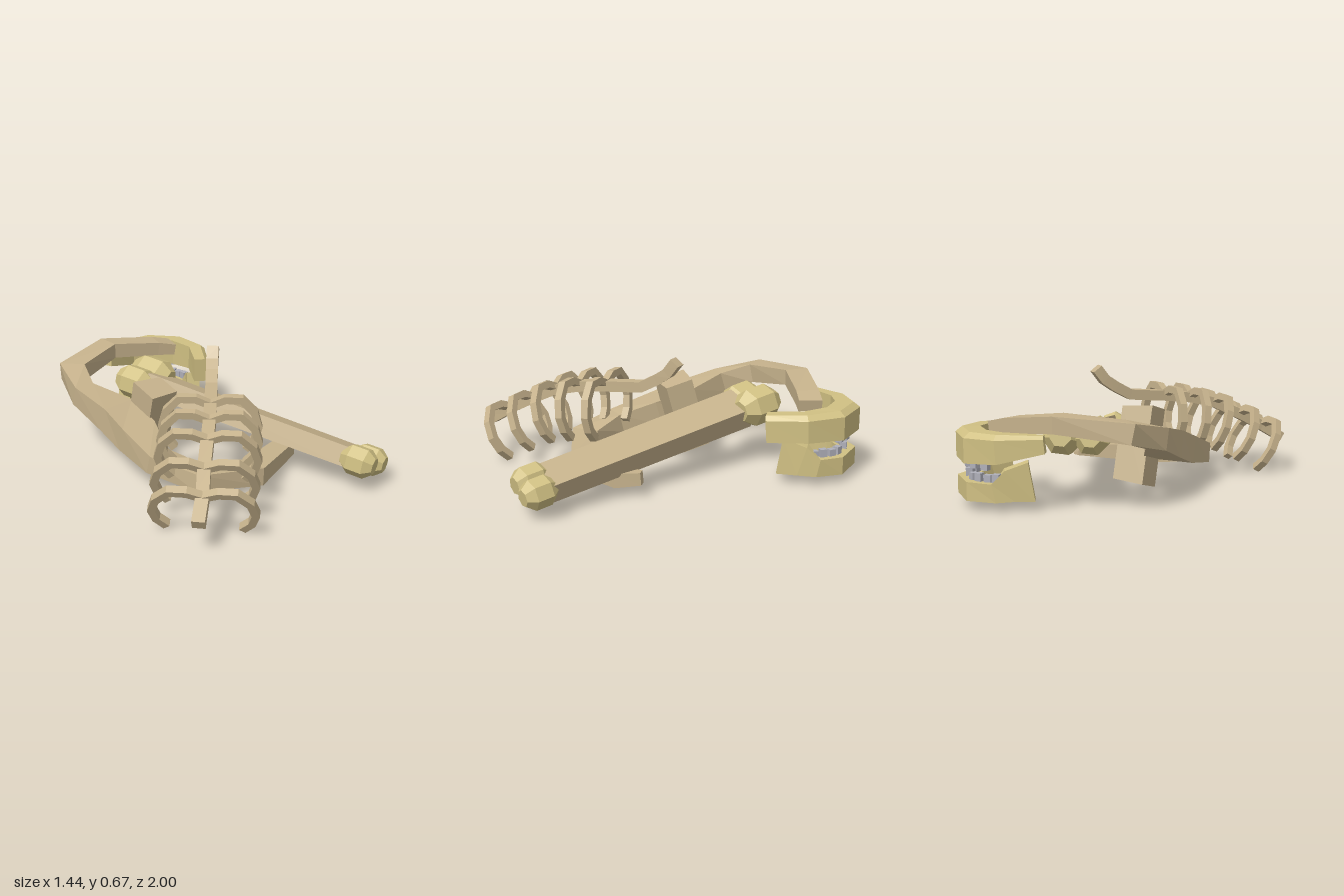
import * as THREE from 'three';

const V = (x, y, z) => new THREE.Vector3(x, y, z);
const material = (color) => new THREE.MeshStandardMaterial({ color, flatShading: true });
const SQUARE = [[-1, -1], [1, -1], [1, 1], [-1, 1]];
const BEVELLED = [[-1, -1], [1, -1], [1, 0.65], [0.45, 1], [-1, 1]];

// Sweeps a section along rows of [x, y, z, width, height], with mitred bends
function sweep(rows, up, section = SQUARE) {
  const pts = rows.map((r) => V(r[0], r[1], r[2]));
  const rings = pts.map((p, i) => {
    const before = p.clone().sub(pts[Math.max(i - 1, 0)]).normalize();
    const after = pts[Math.min(i + 1, pts.length - 1)].clone().sub(p).normalize();
    const t = before.clone().add(after).normalize();
    const s = up.clone().cross(t).normalize();
    const u = t.clone().cross(s);
    const [, , , w, h] = rows[i];
    return section.map(([a, b]) => p.clone().addScaledVector(s, a * w / 2).addScaledVector(u, b * h / 2));
  });
  const out = [];
  const tri = (...vs) => vs.forEach((v) => out.push(v.x, v.y, v.z));
  const n = section.length, last = rings.length - 1;
  for (let i = 0; i < last; i++) {
    for (let j = 0; j < n; j++) {
      const k = (j + 1) % n;
      tri(rings[i][j], rings[i][k], rings[i + 1][k]);
      tri(rings[i][j], rings[i + 1][k], rings[i + 1][j]);
    }
  }
  for (let j = 1; j < n - 1; j++) {
    tri(rings[0][0], rings[0][j + 1], rings[0][j]);
    tri(rings[last][0], rings[last][j], rings[last][j + 1]);
  }
  const geo = new THREE.BufferGeometry();
  geo.setAttribute('position', new THREE.Float32BufferAttribute(out, 3));
  geo.computeVertexNormals();
  return geo;
}

export function createModel() {
  const model = new THREE.Group();
  model.name = 'bonePile';
  const bone = material(0xc6b28c);
  const paleBone = material(0xd0c083);
  const enamel = material(0xb0b0ba);
  const Y = V(0, 1, 0);
  const add = (name, geo, mat, parent = model) => {
    const mesh = new THREE.Mesh(geo, mat);
    mesh.name = name;
    parent.add(mesh);
    return mesh;
  };
  const group = (name) => {
    const g = new THREE.Group();
    g.name = name;
    model.add(g);
    return g;
  };

  // Long flat leg bone, rolled to one side, with a pair of chamfered knuckles at each end
  const leg = group('legBone');
  const legBack = V(0.11, 0.31, -0.42), legFront = V(0.575, 0.14, 0.86);
  const legDir = legFront.clone().sub(legBack).normalize();
  add('legShaft', sweep([
    [...legBack.toArray(), 0.207, 0.13], [...legFront.toArray(), 0.185, 0.113],
  ], V(0.34, 1, -0.12)), bone, leg);
  const knuckles = [
    [0.01, 0.33, -0.465, 0.1, 0.115], [0.165, 0.335, -0.5, 0.11, 0.13],
    [0.525, 0.158, 0.89, 0.087, 0.095], [0.635, 0.128, 0.872, 0.083, 0.092],
  ];
  for (const [x, y, z, r, h] of knuckles) {
    const profile = [[0, -h], [0.55 * r, -h], [r, -0.5 * h], [r, 0.5 * h], [0.55 * r, h], [0, h]];
    const knob = add('knuckle', new THREE.LatheGeometry(profile.map((p) => new THREE.Vector2(...p)), 7), paleBone, leg);
    knob.position.set(x, y, z);
    knob.quaternion.setFromUnitVectors(Y, legDir);
  }

  // Spine
  const cage = group('ribCage');
  const spine = [
    [-0.62, 0.16, 0.9], [-0.52, 0.24, 0.81], [-0.415, 0.32, 0.695], [-0.295, 0.4, 0.575],
    [-0.185, 0.44, 0.46], [-0.075, 0.46, 0.335], [0.08, 0.48, 0.16],
    [0.14, 0.53, 0.09], [0.185, 0.575, 0.04], [0.22, 0.64, 0.005],
  ];
  add('spine', sweep(spine.map((p) => [...p, 0.068, 0.06]), Y), bone, cage);

  // Five ribs, each square to the spine and curling in at the tips
  const half = [[0.08, 0.045], [0.17, 0.045], [0.24, -0.03], [0.265, -0.12], [0.245, -0.2], [0.195, -0.26]];
  const ribLine = [...half.map(([a, b]) => [-a, b]).reverse(), [0, 0.01], ...half];
  for (let i = 1; i <= 5; i++) {
    const c = V(...spine[i]);
    const along = V(...spine[i + 1]).sub(V(...spine[i - 1])).normalize();
    const side = along.clone().cross(Y).normalize();
    const rise = side.clone().cross(along);
    const rows = ribLine.map(([a, b]) => [
      ...c.clone().addScaledVector(side, a).addScaledVector(rise, b).toArray(), 0.042, 0.042]);
    add('rib', sweep(rows, along), bone, cage);
  }

  // Curved hip bone, thickened beside its socket block
  const hip = group('hipBone');
  add('hipArc', sweep([
    [0.46, 0.395, -0.695, 0.13, 0.065], [0.35, 0.415, -0.725, 0.13, 0.08], [0.04, 0.45, -0.795, 0.14, 0.09],
    [-0.3, 0.41, -0.68, 0.15, 0.11], [-0.37, 0.35, -0.47, 0.12, 0.12], [-0.305, 0.28, -0.23, 0.21, 0.15],
    [-0.305, 0.22, -0.03, 0.21, 0.15], [-0.34, 0.16, 0.2, 0.14, 0.11], [-0.23, 0.11, 0.42, 0.16, 0.1],
    [0.1, 0.073, 0.51, 0.15, 0.105], [0.44, 0.085, 0.39, 0.12, 0.08], [0.5, 0.095, 0.29, 0.05, 0.07],
  ], Y), bone, hip);
  add('hipSocket', sweep([
    [-0.21, 0.24, -0.145, 0.185, 0.44], [-0.025, 0.245, -0.145, 0.16, 0.41],
  ], V(0, 0.966, 0.257)), bone, hip);

  // Jaws
  const jaws = group('jaws');
  add('upperJaw', sweep([
    [0.08, 0.35, -0.865, 0.06, 0.09], [0.3, 0.325, -0.945, 0.11, 0.15], [0.455, 0.32, -0.925, 0.14, 0.16],
    [0.585, 0.32, -0.79, 0.13, 0.16], [0.6, 0.32, -0.61, 0.11, 0.15], [0.49, 0.305, -0.425, 0.09, 0.15],
  ], Y, BEVELLED), paleBone, jaws);
  add('lowerJaw', sweep([
    [0.18, 0.145, -0.825, 0.08, 0.21], [0.28, 0.125, -0.88, 0.08, 0.17], [0.34, 0.09, -0.92, 0.09, 0.1],
    [0.465, 0.09, -0.925, 0.1, 0.1], [0.59, 0.09, -0.8, 0.1, 0.1],
    [0.595, 0.09, -0.68, 0.09, 0.1], [0.565, 0.125, -0.61, 0.08, 0.17], [0.495, 0.145, -0.51, 0.08, 0.21],
  ], Y), paleBone, jaws);

  // Teeth follow the bend of each jaw
  const bend = (points) => new THREE.CatmullRomCurve3(points.map((p) => V(...p)));
  const toothRow = (name, curve, places, height) => places.forEach((f, i) => {
    const tooth = add(name, new THREE.BoxGeometry(0.04, height * (i % 2 ? 0.8 : 1), 0.035), enamel, jaws);
    tooth.position.copy(curve.getPointAt(f));
    const t = curve.getTangentAt(f);
    tooth.rotation.y = Math.atan2(-t.z, t.x);
  });
  toothRow('lowerTooth', bend([[0.33, 0.155, -0.91], [0.46, 0.155, -0.91], [0.575, 0.155, -0.8], [0.585, 0.155, -0.66]]),
    [0.02, 0.13, 0.25, 0.37, 0.63, 0.74, 0.86, 0.98], 0.055);
  toothRow('upperTooth', bend([[0.36, 0.235, -0.94], [0.47, 0.235, -0.93], [0.58, 0.235, -0.82]]),
    [0.1, 0.34, 0.68, 0.95], 0.06);

  return model;
}
